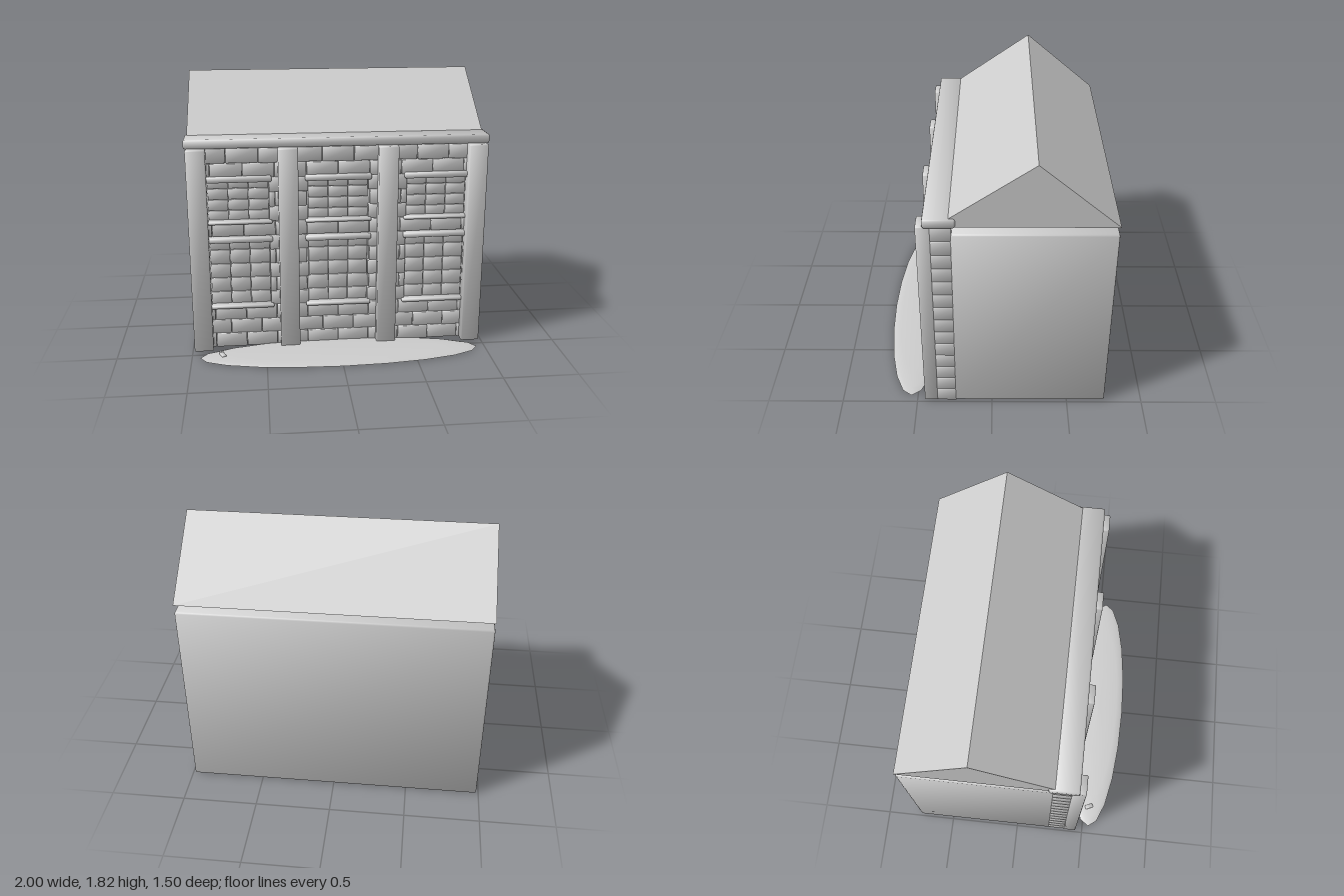
import * as THREE from 'three';
import { RoundedBoxGeometry } from 'three/addons/geometries/RoundedBoxGeometry.js';

const stone = new THREE.MeshStandardMaterial({ color: 0xcccccc });
stone.name = 'light grey stone';
const roofStone = stone.clone();
roofStone.name = 'light grey roof';
roofStone.side = THREE.DoubleSide;

// Bevelled box between two corners, with normals leaning outward for a soft look
function softBox(name, x0, x1, y0, y1, z0, z1, bevel) {
  const geo = new RoundedBoxGeometry(x1 - x0, y1 - y0, z1 - z0, 1, bevel);
  const p = geo.attributes.position, n = geo.attributes.normal;
  const v = new THREE.Vector3();
  for (let i = 0; i < p.count; i++) {
    v.fromBufferAttribute(n, i);
    v.x += 0.7 * Math.sign(p.getX(i));
    v.y += 0.7 * Math.sign(p.getY(i));
    v.z += 0.7 * Math.sign(p.getZ(i));
    v.normalize();
    n.setXYZ(i, v.x, v.y, v.z);
  }
  const mesh = new THREE.Mesh(geo, stone);
  mesh.name = name;
  mesh.position.set((x0 + x1) / 2, (y0 + y1) / 2, (z0 + z1) / 2);
  return mesh;
}

const windowX = [-0.66, 0, 0.66];
const windowRows = [
  { y0: 0.3, y1: 0.8, rows: 5, sill: [0.29, 0.315], lintel: [0.76, 0.797] },
  { y0: 0.9, y1: 1.2, rows: 4, sill: [0.89, 0.912], lintel: [1.175, 1.215] },
];
const HALF = 0.985, OPEN = 0.2;

// Brick courses in running bond, trimmed around the window openings
function brickWall() {
  const wall = new THREE.Group();
  wall.name = 'brickWall';
  wall.add(softBox('wallCore', -0.975, 0.975, 0.005, 1.4, 0.24, 0.35, 0.004));
  const gap = 0.0015;
  for (let row = 0; row < 14; row++) {
    const y = row * 0.1;
    const hasWindow = windowRows.some((w) => y + 0.05 > w.y0 && y + 0.05 < w.y1);
    // Solid stretches of this course
    const spans = [];
    let start = -HALF;
    if (hasWindow) {
      for (const c of windowX) {
        spans.push([start, c - OPEN]);
        start = c + OPEN;
      }
    }
    spans.push([start, HALF]);
    for (let i = -6; i < 6; i++) {
      const left = i * 0.21 + (row % 2) * 0.105;
      for (const [s, e] of spans) {
        const x0 = Math.max(left, s), x1 = Math.min(left + 0.21, e);
        if (x1 - x0 < 0.015) continue;
        const front = 0.384 + 0.003 * ((i * 7 + row * 5 + 90) % 3 - 1);
        wall.add(softBox('brick', x0 + gap, x1 - gap, y + gap, y + 0.1 - gap, 0.237, front, 0.003));
      }
    }
  }
  return wall;
}

// Recessed panes with a sill below and a lintel above
function windowUnit(c, w) {
  const unit = new THREE.Group();
  unit.name = 'window';
  const pw = (2 * OPEN) / 3, ph = (w.y1 - w.y0) / w.rows;
  for (let i = 0; i < 3; i++) {
    for (let j = 0; j < w.rows; j++) {
      const x = c - OPEN + i * pw, y = w.y0 + j * ph;
      unit.add(softBox('pane', x + 0.0015, x + pw - 0.0015, y + 0.0015, y + ph - 0.0015, 0.34, 0.36, 0.002));
    }
  }
  unit.add(softBox('sill', c - 0.22, c + 0.22, w.sill[0], w.sill[1], 0.345, 0.412, 0.008));
  unit.add(softBox('lintel', c - 0.22, c + 0.22, w.lintel[0], w.lintel[1], 0.345, 0.412, 0.01));
  return unit;
}

// Gabled roof shell, open underneath
function gableRoof() {
  const A = [1.405, -0.755], B = [1.82, -0.262], C = [1.405, 0.337];
  const at = (side, p) => [side * HALF, ...p];
  const verts = [];
  const tri = (...pts) => pts.forEach((p) => verts.push(...p));
  const quad = (a, b, c, d) => { tri(a, b, c); tri(a, c, d); };
  quad(at(1, A), at(-1, A), at(-1, B), at(1, B));
  quad(at(-1, C), at(1, C), at(1, B), at(-1, B));
  tri(at(1, C), at(1, A), at(1, B));
  tri(at(-1, A), at(-1, C), at(-1, B));
  const geo = new THREE.BufferGeometry();
  geo.setAttribute('position', new THREE.Float32BufferAttribute(verts, 3));
  geo.computeVertexNormals();
  const roof = new THREE.Mesh(geo, roofStone);
  roof.name = 'roof';
  return roof;
}

// Low oval mound with a pebble, lying in front of the wall
function frontMound() {
  const mound = new THREE.Group();
  mound.name = 'mound';
  const profile = [[1, 0], [0.93, 0.012], [0.75, 0.019], [0.4, 0.025], [0, 0.027]]
    .map(([r, y]) => new THREE.Vector2(r, y));
  const top = new THREE.Mesh(new THREE.LatheGeometry(profile, 20), stone);
  top.name = 'moundTop';
  top.scale.set(0.945, 1, 0.2);
  const base = new THREE.Mesh(new THREE.CircleGeometry(1, 20).rotateX(Math.PI / 2), stone);
  base.name = 'moundBase';
  base.scale.copy(top.scale);
  mound.add(top, base);
  mound.position.z = 0.545;
  const pebble = softBox('pebble', -0.81, -0.78, 0.005, 0.025, -0.035, 0.025, 0.004);
  pebble.rotation.y = 0.4;
  mound.add(pebble);
  return mound;
}

export function createModel() {
  const model = new THREE.Group();
  model.name = 'building';
  model.add(softBox('mainBlock', -HALF, HALF, 0.003, 1.352, -0.752, 0.25, 0.012));
  model.add(brickWall());
  for (const c of windowX) for (const w of windowRows) model.add(windowUnit(c, w));

  // Four pilasters across the front
  for (const [x0, x1] of [[-0.988, -0.86], [-0.398, -0.267], [0.262, 0.392], [0.858, 0.985]]) {
    model.add(softBox('pilaster', x0, x1, 0, 1.405, 0.36, 0.45, 0.008));
  }

  model.add(softBox('cornice', -1, 1, 1.403, 1.463, 0.213, 0.408, 0.012));
  model.add(gableRoof());
  model.add(frontMound());
  return model;
}
